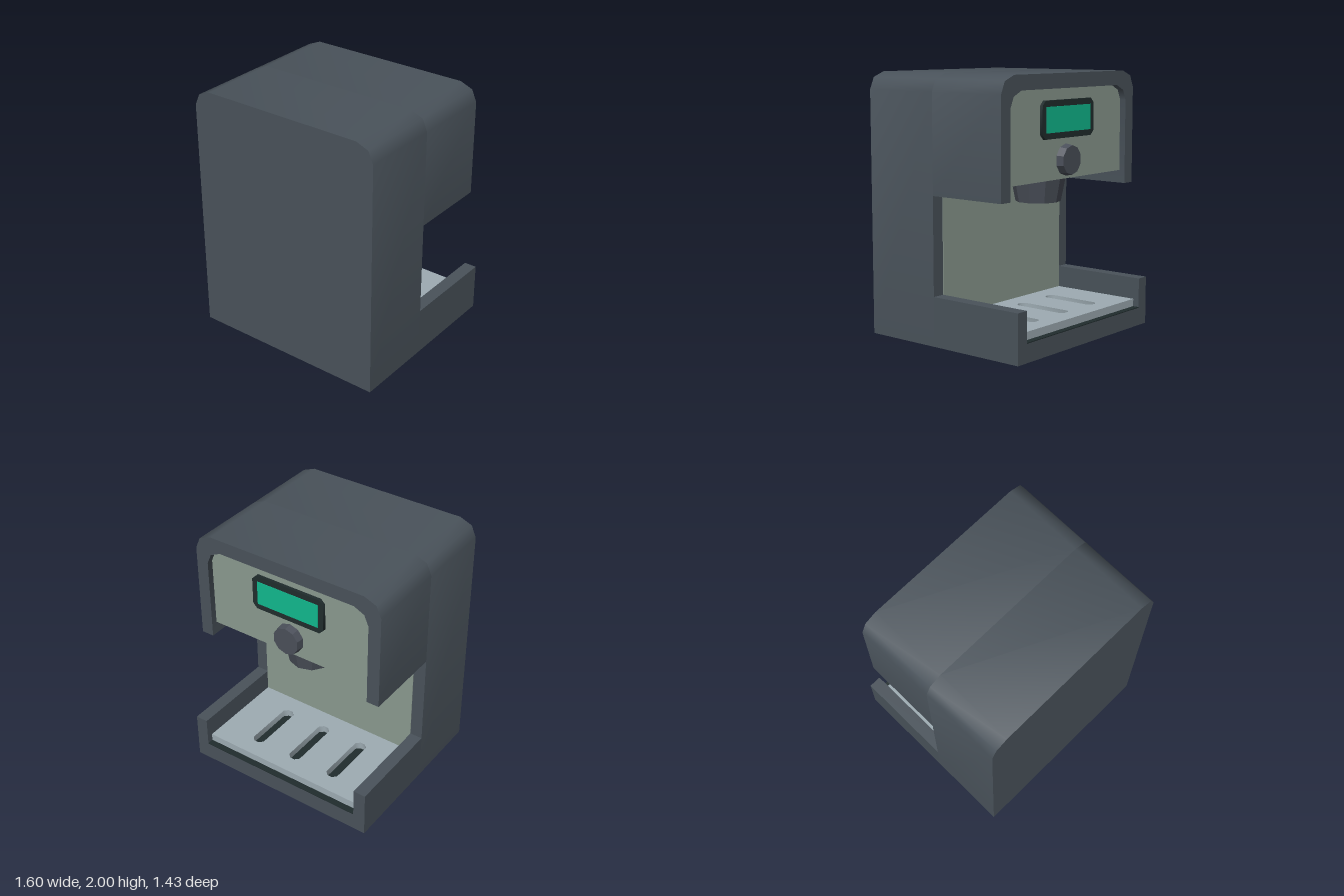
import * as THREE from 'three';
import { toCreasedNormals } from 'three/addons/utils/BufferGeometryUtils.js';

const material = (name, color, flatShading = false) => {
  const m = new THREE.MeshStandardMaterial({ color, flatShading });
  m.name = name;
  return m;
};

const polygon = (points, Type = THREE.Shape) => new Type(points.map(([x, y]) => new THREE.Vector2(x, y)));

// Rectangle with cut corners, as a point list
const cutRect = (cx, cy, w, h, c) => {
  const x = w / 2, y = h / 2;
  return [[x, -y + c], [x, y - c], [x - c, y], [-x + c, y], [-x, y - c], [-x, -y + c], [-x + c, -y], [x - c, -y]]
    .map(([px, py]) => [px + cx, py + cy]);
};

// Upright outline with softened top corners; the right half is mirrored
const arch = (right) => [...right, ...right.map(([x, y]) => [-x, y]).reverse()];
const outerArch = (bottom) => arch([[0.8, bottom], [0.8, 1.87], [0.76, 1.96], [0.66, 2]]);
const innerArch = (bottom) => arch([[0.7, bottom], [0.7, 1.77], [0.665, 1.85], [0.58, 1.89]]);

// Extrude a shape between two depths, smoothing only the gentle bends
const extrude = (shape, z0, z1) => {
  const g = new THREE.ExtrudeGeometry(shape, { depth: z1 - z0, bevelEnabled: false });
  g.translate(0, 0, z0);
  return toCreasedNormals(g, 0.85);
};

export function createModel() {
  const model = new THREE.Group();
  model.name = 'coffeeMachine';

  const housing = material('slate housing', 0x49525a);
  const panel = material('sage panel', 0x8a998f);
  const steel = material('brushed steel', 0x9dabb2);
  const dark = material('dark trim', 0x202c2d);
  const green = material('display green', 0x11b98d);
  const hardware = material('graphite hardware', 0x4a4f59, true);

  const add = (name, geometry, mat) => {
    const mesh = new THREE.Mesh(geometry, mat);
    mesh.name = name;
    model.add(mesh);
    return mesh;
  };
  const box = (name, w, h, d, x, y, z, mat) =>
    add(name, new THREE.BoxGeometry(w, h, d).translate(x, y, z), mat);

  // Housing: rear column, hood around the head, trough-shaped base
  add('rearColumn', extrude(polygon(outerArch(0)), 0.08, 0.715), housing);
  const hood = polygon([...outerArch(1.12), ...innerArch(1.12).reverse()]);
  add('hood', extrude(hood, -0.565, 0.08), housing);
  const trough = polygon([[-0.8, 0], [0.8, 0], [0.8, 0.375], [0.7, 0.375], [0.7, 0.14],
    [-0.7, 0.14], [-0.7, 0.375], [-0.8, 0.375]]);
  add('base', extrude(trough, -0.715, 0.08), housing);

  // Recessed head block and the wall behind the cup space
  add('headPanel', extrude(polygon(innerArch(1.22)), -0.515, 0.08), panel);
  box('backPanel', 1.4, 1.08, 0.01, 0, 0.68, 0.08, panel);

  // Slotted drip tray over a dark floor
  box('trayFloor', 1.4, 0.006, 0.79, 0, 0.143, -0.32, dark);
  const tray = polygon([[-0.7, -0.075], [0.7, -0.075], [0.7, 0.665], [-0.7, 0.665]]);
  for (const x of [-0.355, 0, 0.355]) {
    tray.holes.push(polygon(cutRect(x, 0.3, 0.1, 0.46, 0.03), THREE.Path));
  }
  add('dripTray', extrude(tray, 0.146, 0.205).rotateX(-Math.PI / 2), steel);

  // Display
  add('displayBezel', extrude(polygon(cutRect(0, 1.665, 0.62, 0.28, 0.035)), -0.54, -0.51), dark);
  box('displayScreen', 0.53, 0.19, 0.006, 0, 1.665, -0.541, green);

  // Control knob
  const knob = new THREE.CylinderGeometry(0.12, 0.11, 0.06, 10);
  add('knob', knob.rotateX(Math.PI / 2).translate(0, 1.36, -0.544), hardware);

  // Hollow brewing spout under the head
  const spout = [[0, 1.13], [0.1, 1.03], [0.172, 1.03], [0.21, 1.22]]
    .map(([r, y]) => new THREE.Vector2(r, y));
  const spoutMesh = add('spout', new THREE.LatheGeometry(spout, 10), hardware);
  spoutMesh.position.z = -0.255;

  return model;
}
